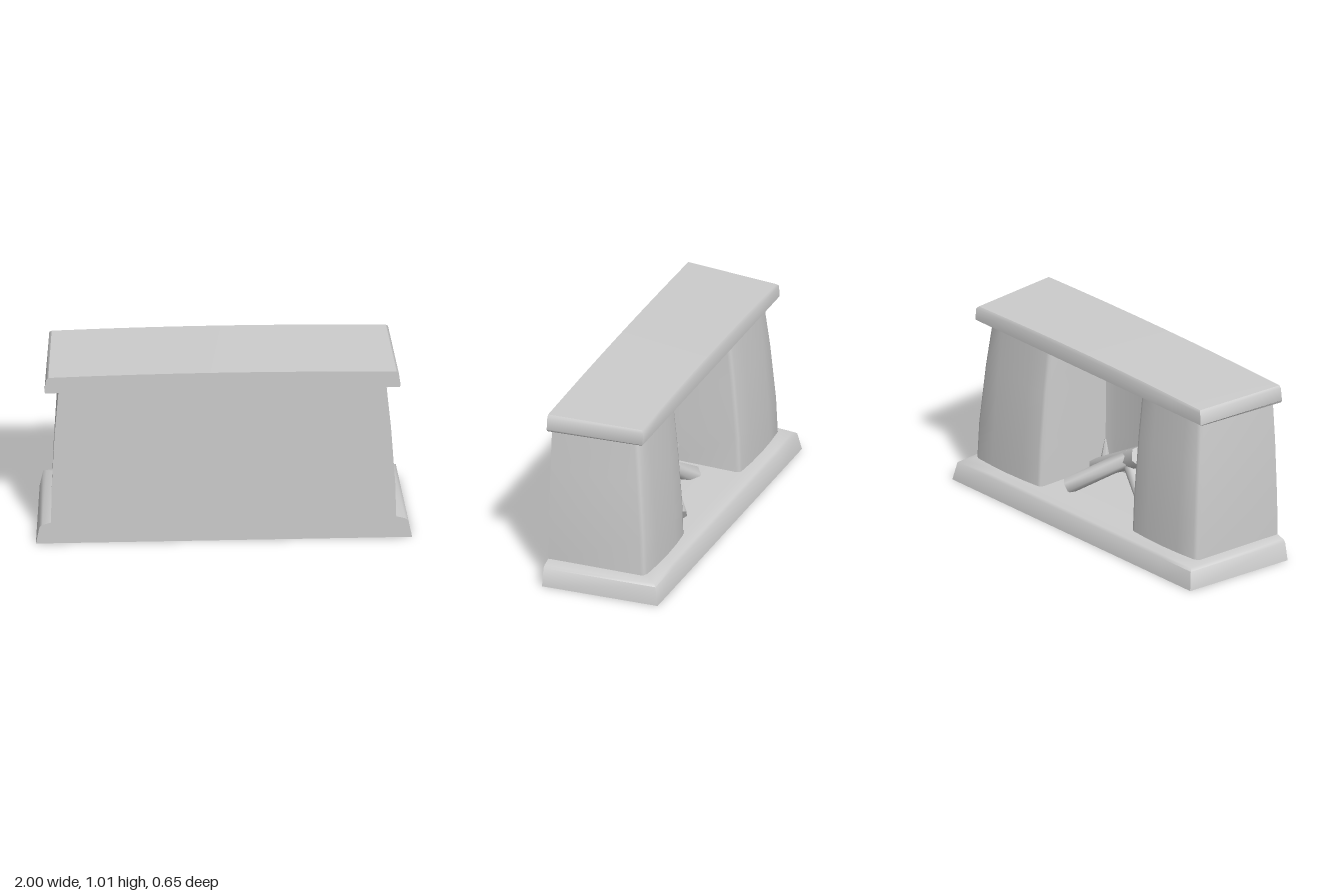
import * as THREE from 'three';
import { toCreasedNormals } from 'three/addons/utils/BufferGeometryUtils.js';

const stone = new THREE.MeshStandardMaterial({ name: 'grey stone', color: 0xcccccc });
const FRONT = 0.325;

function addMesh(group, name, geometry, crease = 0.75) {
  const mesh = new THREE.Mesh(toCreasedNormals(geometry, crease), stone);
  mesh.name = name;
  group.add(mesh);
  return mesh;
}

// Joins closed rings of [x, y, z] points; caps join the first half of a ring to its second half.
function loft(rings, capped) {
  const n = rings[0].length;
  const index = [];
  const quad = (a, b, c, d) => index.push(a, b, c, a, c, d);
  for (let r = 0; r < rings.length - 1; r++) {
    for (let i = 0; i < n; i++) {
      const j = (i + 1) % n;
      quad(r * n + i, r * n + j, (r + 1) * n + j, (r + 1) * n + i);
    }
  }
  if (capped) {
    const top = (rings.length - 1) * n;
    for (let i = 0; i < n / 2 - 1; i++) {
      quad(top + i, top + i + 1, top + n - 2 - i, top + n - 1 - i);
      quad(n - 1 - i, n - 2 - i, i + 1, i);
    }
  }
  const g = new THREE.BufferGeometry();
  g.setAttribute('position', new THREE.Float32BufferAttribute(rings.flat(2), 3));
  g.setIndex(index);
  return g;
}

// Tapered rectangular slab ring, optionally arched along its length.
function slabRing([y, frontW, backW, backZ, shift = 0, arch = 0]) {
  const steps = 8;
  const front = [], back = [];
  for (let i = 0; i <= steps; i++) {
    const t = -1 + (2 * i) / steps;
    const h = y + arch * (1 - t * t);
    front.push([t * frontW + shift, h, FRONT]);
    back.unshift([t * backW + shift, h, backZ]);
  }
  return [...front, ...back];
}

// U-shaped plan: outer side, bulging pillar face, then the hearth recess.
function bodyRing([y, w, z, shift]) {
  const half = [
    [w, FRONT], [w - 0.03, z + 0.04], [w - 0.036, z + 0.022], [w - 0.055, z + 0.012],
    [0.74, z + 0.003], [0.62, z], [0.5, z + 0.003], [0.39, z + 0.012],
    [0.372, z + 0.018], [0.364, z + 0.036], [0.362, 0.17], [0.345, 0.22], [0.29, 0.235],
  ];
  const mirrored = half.map(([x, d]) => [-x, d]).reverse();
  return [...half, ...mirrored].map(([x, d]) => [x + shift, y, d]);
}

// Six-sided log between two points.
function addLog(group, from, to, r0, r1) {
  const a = new THREE.Vector3(...from), b = new THREE.Vector3(...to);
  const dir = b.clone().sub(a);
  const log = addMesh(group, 'log', new THREE.CylinderGeometry(r1, r0, dir.length(), 6), 1.1);
  log.position.copy(a).lerp(b, 0.5);
  log.quaternion.setFromUnitVectors(new THREE.Vector3(0, 1, 0), dir.normalize());
}

export function createModel() {
  const model = new THREE.Group();
  model.name = 'fireplace';

  // Plinth with sloped shoulder; its top is the hearth floor
  addMesh(model, 'base', loft([
    [0, 1, 0.955, -0.325],
    [0.1, 0.98, 0.937, -0.305],
    [0.112, 0.965, 0.92, -0.29],
    [0.125, 0.918, 0.875, -0.235],
  ].map(slabRing), true), 0.9);

  // Pillars, recess and rear wall
  addMesh(model, 'body', loft([
    [0.11, 0.918, -0.237, -0.002],
    [0.33, 0.913, -0.228, -0.003],
    [0.66, 0.894, -0.2, -0.006],
    [0.92, 0.871, -0.172, -0.008],
  ].map(bodyRing), false), 0.9);

  // Overhanging mantel with a slightly arched top
  addMesh(model, 'mantel', loft([
    [0.905, 0.942, 0.89, -0.185, -0.008],
    [0.918, 0.947, 0.905, -0.213, -0.008],
    [0.985, 0.938, 0.9, -0.213, -0.008, 0.008],
    [0.998, 0.926, 0.888, -0.203, -0.008, 0.013],
  ].map(slabRing), true));

  // Stacked firewood
  const logs = new THREE.Group();
  logs.name = 'firewood';
  addLog(logs, [0.24, 0.15, -0.14], [-0.01, 0.335, 0.08], 0.045, 0.045);
  addLog(logs, [0.33, 0.14, 0.15], [-0.11, 0.38, 0.07], 0.055, 0.06);
  addLog(logs, [-0.26, 0.12, 0], [0.02, 0.31, 0.09], 0.05, 0.035);
  addLog(logs, [0.31, 0.12, 0.19], [0.31, 0.3, 0.19], 0.04, 0.004);
  model.add(logs);

  return model;
}
